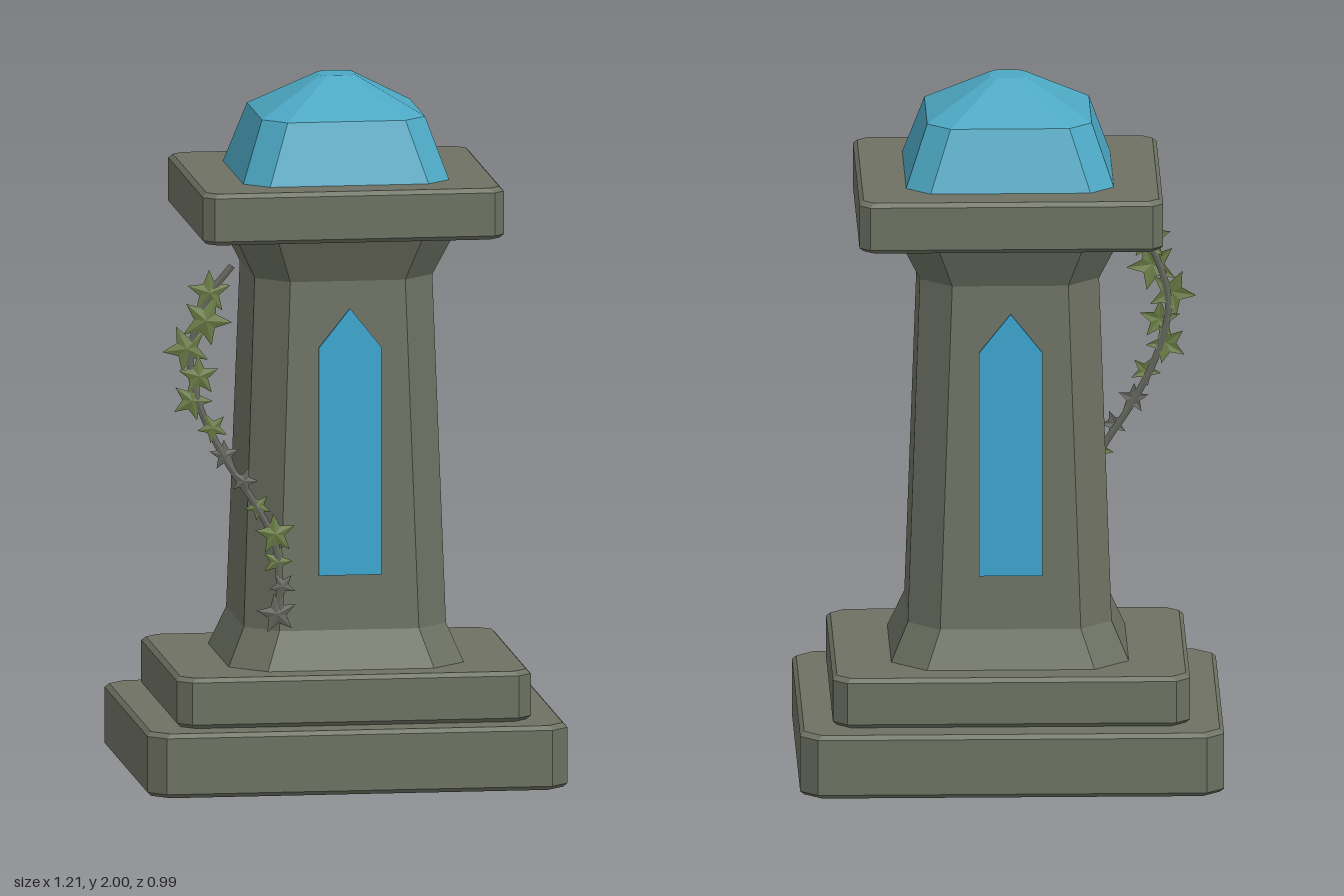
import * as THREE from 'three';

const mat = (name, color, side = THREE.FrontSide) => {
  const m = new THREE.MeshStandardMaterial({ color, side, flatShading: true });
  m.name = name;
  return m;
};

// Octagonal ring: a rectangle with cut corners, at height y
function ring([y, hx, hz, cut]) {
  const pts = [];
  for (const [sx, sz, swap] of [[1, 1, 0], [-1, 1, 1], [-1, -1, 0], [1, -1, 1]]) {
    const a = [sx * hx, y, sz * (hz - cut)], b = [sx * (hx - cut), y, sz * hz];
    pts.push(...(swap ? [b, a] : [a, b]));
  }
  return pts;
}

// Closed faceted solid through rings of [y, halfX, halfZ, cornerCut]
function loft(levels) {
  const rings = levels.map(ring), pos = [];
  const tri = (...p) => p.forEach((v) => pos.push(...v));
  for (let k = 0; k < rings.length - 1; k++) {
    for (let i = 0; i < 8; i++) {
      const j = (i + 1) % 8, lo = rings[k], hi = rings[k + 1];
      tri(lo[i], hi[i], hi[j]);
      tri(lo[i], hi[j], lo[j]);
    }
  }
  const top = rings[rings.length - 1], bottom = rings[0];
  for (let i = 1; i < 7; i++) {
    tri(top[0], top[i + 1], top[i]);
    tri(bottom[0], bottom[i], bottom[i + 1]);
  }
  const g = new THREE.BufferGeometry();
  g.setAttribute('position', new THREE.Float32BufferAttribute(pos, 3));
  g.computeVertexNormals();
  return g;
}

// Slab with narrow bevels along its upper and lower edges
const slab = (y0, y1, hx, hz, cut, b = 0.012) => loft([
  [y0, hx - b, hz - b, cut], [y0 + b, hx, hz, cut],
  [y1 - b, hx, hz, cut], [y1, hx - b, hz - b, cut],
]);

// Five-pointed leaf, slightly raised at the middle
function leafGeometry() {
  const pos = [];
  const at = (i) => {
    const a = (i / 10) * Math.PI * 2 + Math.PI / 2, r = i % 2 ? 0.45 : 1;
    return [Math.cos(a) * r, Math.sin(a) * r, 0];
  };
  for (let i = 0; i < 10; i++) pos.push(0, 0, 0.12, ...at(i), ...at(i + 1));
  const g = new THREE.BufferGeometry();
  g.setAttribute('position', new THREE.Float32BufferAttribute(pos, 3));
  g.computeVertexNormals();
  return g;
}

export function createModel() {
  const model = new THREE.Group();
  model.name = 'stonePillar';
  const stone = mat('stone', 0x6d7162);
  const crystal = mat('blueCrystal', 0x4ca8c3);
  const glass = mat('blueGlass', 0x3ca6d0);
  const green = mat('leafGreen', 0x6b7d45, THREE.DoubleSide);
  const grey = mat('witheredGrey', 0x62655b, THREE.DoubleSide);

  const add = (name, geometry, material, parent = model) => {
    const mesh = new THREE.Mesh(geometry, material);
    mesh.name = name;
    parent.add(mesh);
    return mesh;
  };

  // Stone steps, shaft and cap
  add('baseSlab', slab(0, 0.185, 0.603, 0.495, 0.05), stone);
  add('upperStep', slab(0.185, 0.33, 0.508, 0.41, 0.04), stone);
  add('shaft', loft([
    [0.325, 0.34, 0.315, 0.1], [0.44, 0.29, 0.275, 0.09],
    [1.44, 0.255, 0.245, 0.09], [1.575, 0.32, 0.305, 0.11],
  ]), stone);
  add('capSlab', slab(1.572, 1.72, 0.432, 0.39, 0.03), stone);

  // Faceted crystal on the cap
  add('crystalDome', loft([
    [1.715, 0.297, 0.281, 0.068], [1.895, 0.234, 0.221, 0.065], [2, 0.05, 0.05, 0.018],
  ]), crystal);

  // Pointed windows, front and back
  const arch = new THREE.Shape([[-0.09, 0.6], [0.09, 0.6], [0.09, 1.255], [0, 1.368], [-0.09, 1.255]]
    .map(([x, y]) => new THREE.Vector2(x, y)));
  const pane = new THREE.ExtrudeGeometry(arch, { depth: 0.009, bevelEnabled: false });
  add('frontWindow', pane, glass).position.z = 0.284;
  add('backWindow', pane, glass).position.z = -0.29;

  // Climbing vine
  const ivy = new THREE.Group();
  ivy.name = 'ivy';
  ivy.position.z = 0.333;
  model.add(ivy);
  const path = new THREE.CatmullRomCurve3([
    [-0.345, 1.505], [-0.41, 1.42], [-0.465, 1.25], [-0.44, 1.11], [-0.37, 0.96],
    [-0.28, 0.82], [-0.22, 0.7], [-0.205, 0.5],
  ].map(([x, y]) => new THREE.Vector3(x, y, 0)));
  const stem = new THREE.TubeGeometry(path, 28, 0.01, 4, false);
  stem.scale(1, 1, 0.3);
  add('stem', stem, grey, ivy);

  // Leaves: x, y, size, withered
  const leaf = leafGeometry();
  [
    [-0.41, 1.43, 0.065, 0], [-0.42, 1.35, 0.075, 0], [-0.475, 1.27, 0.07, 0],
    [-0.44, 1.19, 0.06, 0], [-0.46, 1.12, 0.06, 0], [-0.4, 1.04, 0.045, 0],
    [-0.365, 0.96, 0.045, 1], [-0.31, 0.885, 0.04, 1], [-0.27, 0.81, 0.04, 0],
    [-0.22, 0.73, 0.06, 0], [-0.215, 0.65, 0.045, 0], [-0.2, 0.58, 0.04, 1],
    [-0.215, 0.5, 0.06, 1],
  ].forEach(([x, y, size, withered], i) => {
    const m = add('leaf' + (i + 1), leaf, withered ? grey : green, ivy);
    m.position.set(x, y, i % 2 ? 0.002 : -0.002);
    m.scale.setScalar(size);
    m.rotation.z = i * 0.85;
  });
  return model;
}
